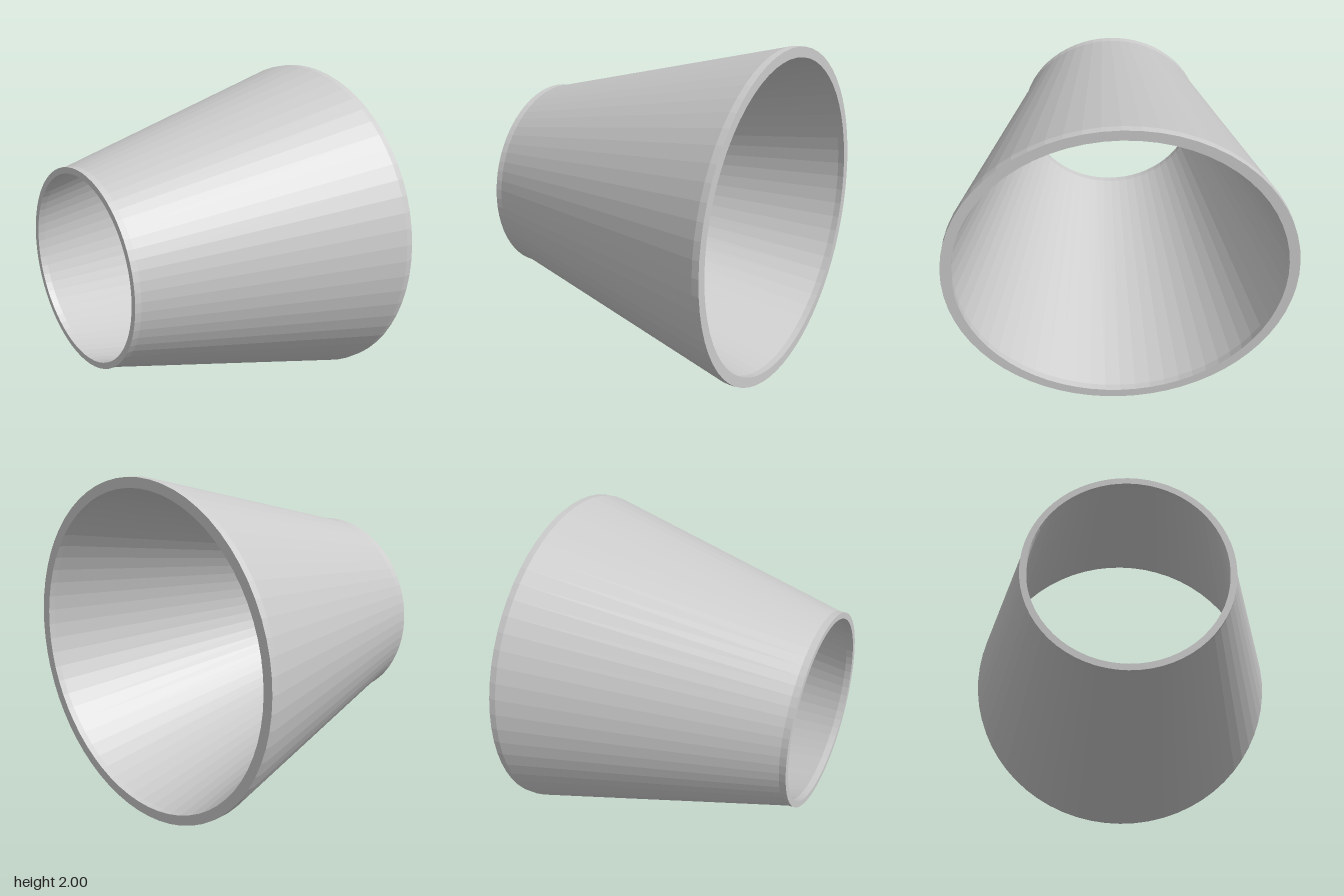
import * as THREE from 'three';

export function createModel() {
  const group = new THREE.Group();
  const material = new THREE.MeshStandardMaterial({ color: 0xcccccc, flatShading: true });

  // Closed wall section [radius, z]: outside from back to front, then inside from front to back
  const section = [
    [1.0, -0.835], [1.0, -0.795], [0.597, 0.795], [0.597, 0.835],
    [0.56, 0.835], [0.56, 0.795], [0.94, -0.795], [0.94, -0.835],
    [1.0, -0.835],
  ].map(([r, z]) => new THREE.Vector2(r, z));

  // Hollow tapered reducer with a short straight collar at each end
  const geometry = new THREE.LatheGeometry(section, 64);
  geometry.rotateX(Math.PI / 2);
  const reducer = new THREE.Mesh(geometry, material);
  reducer.name = 'taperedPipeReducer';
  reducer.position.y = 1;
  group.add(reducer);

  return group;
}
